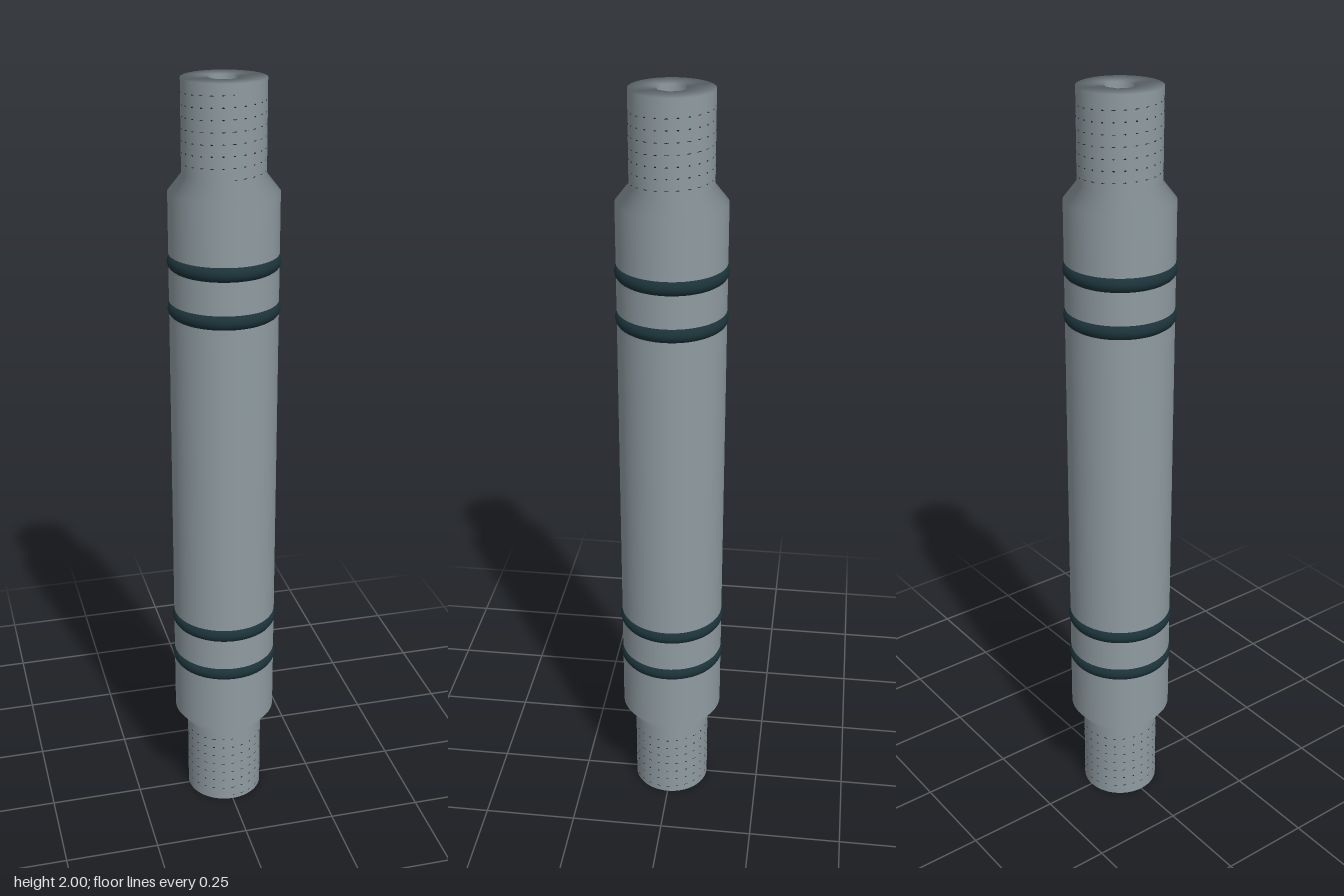
import * as THREE from 'three';

const THREAD_R = 0.103, BODY_R = 0.137, BORE_R = 0.04;
const RING_Y = [0.44, 0.56, 1.44, 1.56];
const RING_TUBE = 0.02, RING_R = 0.121;

// Hollow shaft: outer wall upwards, over the top end, down the bore and closed at the bottom.
function shaftGeometry() {
  const profile = [[THREAD_R, 0], [THREAD_R, 0.225], [BODY_R, 0.268]];
  for (const y of RING_Y) {
    const lo = y - RING_TUBE, hi = y + RING_TUBE;
    profile.push([BODY_R, lo], [RING_R, lo], [RING_R, hi], [BODY_R, hi]);
  }
  profile.push([BODY_R, 1.732], [THREAD_R, 1.775], [THREAD_R, 2], [BORE_R, 2], [BORE_R, 0], [THREAD_R, 0]);

  const geometry = new THREE.LatheGeometry(profile.map(([r, y]) => new THREE.Vector2(r, y)), 64);
  const pos = geometry.attributes.position, nor = geometry.attributes.normal;
  const step = Math.PI / 4;
  for (let i = 0; i < pos.count; i++) {
    const x = pos.getX(i), z = pos.getZ(i), r = Math.hypot(x, z);
    const inner = r < 0.05;
    // Softly blended radial shading: outwards on the wall, inwards in the bore
    const sign = inner ? -1 : 1;
    nor.setXYZ(i, sign * x / r, 0, sign * z / r);
    if (inner) {
      // Eight-sided bore
      const a = (Math.atan2(x, z) + 2 * Math.PI) % step;
      const k = Math.cos(step / 2) / Math.cos(a - step / 2);
      pos.setXYZ(i, x * k, pos.getY(i), z * k);
    }
  }
  return geometry;
}

// Right-handed screw line
class Helix extends THREE.Curve {
  constructor(radius, y0, y1, turns) {
    super();
    Object.assign(this, { radius, y0, y1, turns });
  }
  getPoint(t, target = new THREE.Vector3()) {
    const a = t * this.turns * 2 * Math.PI;
    return target.set(
      this.radius * Math.sin(a),
      this.y0 + (this.y1 - this.y0) * t,
      this.radius * Math.cos(a)
    );
  }
}

export function createModel() {
  const steel = new THREE.MeshStandardMaterial({ color: 0x8f9ba1 });
  steel.name = 'grey steel';
  const rubber = new THREE.MeshStandardMaterial({ color: 0x1b3238 });
  rubber.name = 'dark rubber';
  const threadDark = new THREE.MeshStandardMaterial({ color: 0x1c2224 });
  threadDark.name = 'dark thread';

  const model = new THREE.Group();
  model.name = 'hollowThreadedShaft';
  const add = (name, geometry, material) => {
    const mesh = new THREE.Mesh(geometry, material);
    mesh.name = name;
    model.add(mesh);
    return mesh;
  };

  add('shaft', shaftGeometry(), steel);

  // Sealing rings seated in the grooves
  const ringGeometry = new THREE.TorusGeometry(RING_R, RING_TUBE, 16, 64).rotateX(Math.PI / 2);
  RING_Y.forEach((y, i) => {
    add(`sealRing${i + 1}`, ringGeometry, rubber).position.y = y;
  });

  // Fine threads barely breaking the surface of both ends
  const turns = 7;
  for (const [name, y0, y1] of [['lowerThread', 0.01, 0.205], ['upperThread', 1.78, 1.975]]) {
    const helix = new Helix(THREAD_R - 0.0024, y0, y1, turns);
    add(name, new THREE.TubeGeometry(helix, turns * 24, 0.003, 6), threadDark);
  }

  return model;
}
